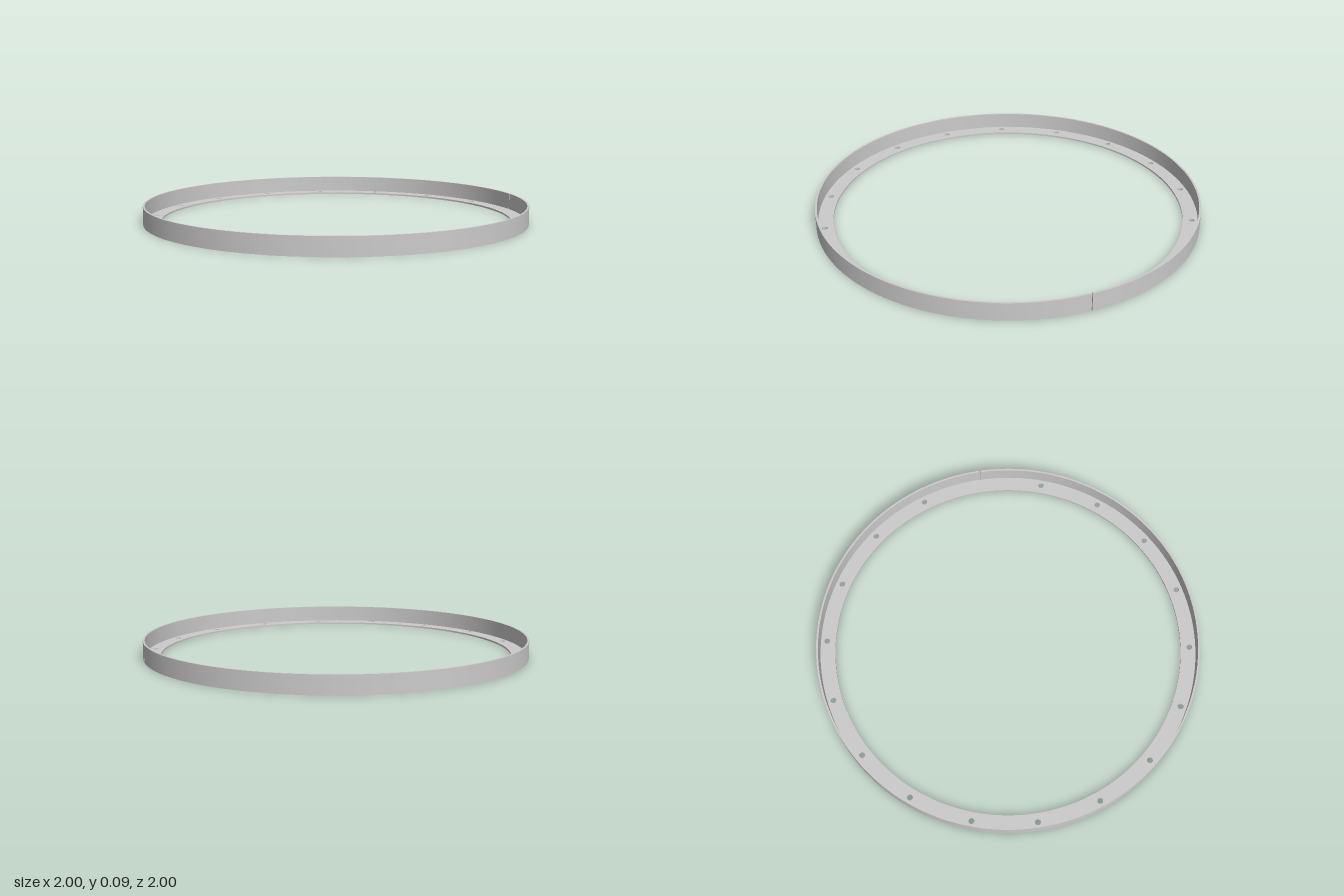
import * as THREE from 'three';
import { toCreasedNormals } from 'three/addons/utils/BufferGeometryUtils.js';

const OUTER = 1, WALL = 0.01, INNER = 0.912, HEIGHT = 0.094, PLATE = 0.009;
const HOLES = 18, HOLE_CIRCLE = 0.958, HOLE_R = 0.015;

// Extrude a plan outline upwards from the ground, smooth around the curves
function plate(name, shape, height, curveSegments, material) {
  const geo = new THREE.ExtrudeGeometry(shape, { depth: height, bevelEnabled: false, curveSegments });
  geo.rotateX(-Math.PI / 2);
  const mesh = new THREE.Mesh(toCreasedNormals(geo, Math.PI / 6), material);
  mesh.name = name;
  return mesh;
}

export function createModel() {
  const group = new THREE.Group();
  group.name = 'flangedRing';
  const material = new THREE.MeshStandardMaterial({ color: 0xcccccc });

  // Flat flange with a circle of bolt holes; none at the wall seam (+x)
  const flange = new THREE.Shape().absarc(0, 0, OUTER - WALL, 0, Math.PI * 2, false);
  flange.holes.push(new THREE.Path().absarc(0, 0, INNER, 0, Math.PI * 2, true));
  for (let i = 1; i < HOLES; i++) {
    const a = (i / HOLES) * Math.PI * 2;
    flange.holes.push(new THREE.Path().absarc(
      HOLE_CIRCLE * Math.cos(a), HOLE_CIRCLE * Math.sin(a), HOLE_R, 0, Math.PI * 2, true));
  }
  group.add(plate('flange', flange, PLATE, 72, material));

  // Thin rolled wall, its ends meeting at a hairline seam on +x
  const gap = 0.002;
  const wall = new THREE.Shape();
  wall.absarc(0, 0, OUTER, gap, Math.PI * 2 - gap, false);
  wall.absarc(0, 0, OUTER - WALL, Math.PI * 2 - gap, gap, true);
  wall.closePath();
  group.add(plate('wall', wall, HEIGHT, 144, material));

  return group;
}
